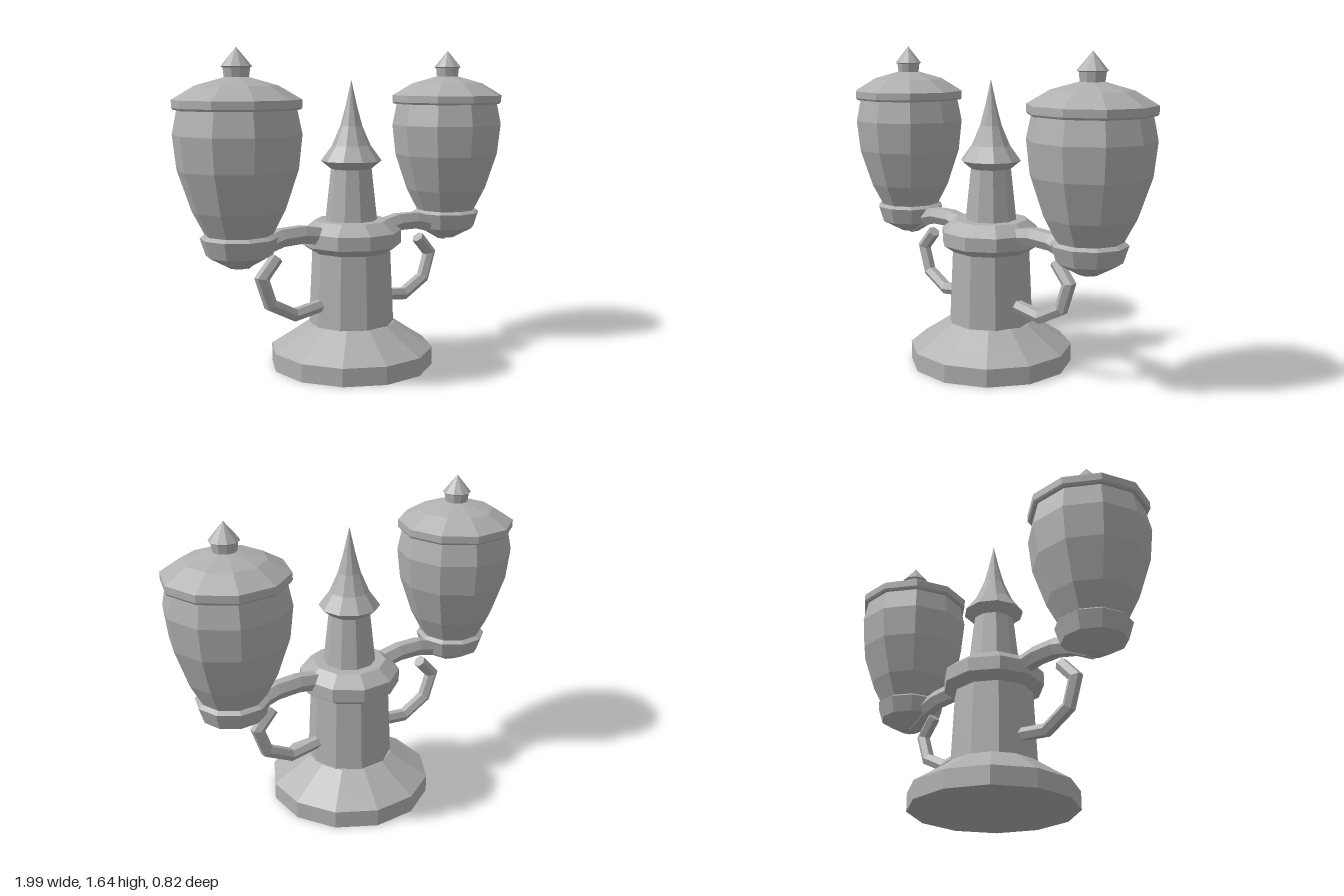
import * as THREE from 'three';

const stone = new THREE.MeshStandardMaterial({ color: 0xb0b0b0, flatShading: true });
stone.name = 'grey';

function faceted(geometry, name) {
  const flat = geometry.index ? geometry.toNonIndexed() : geometry;
  flat.computeVertexNormals();
  const mesh = new THREE.Mesh(flat, stone);
  mesh.name = name;
  return mesh;
}

// Turned part from [radius, height] pairs, listed bottom to top
function turned(name, profile, sides = 10, start = Math.PI / 2) {
  const points = profile.map(([r, y]) => new THREE.Vector2(r, y));
  return faceted(new THREE.LatheGeometry(points, sides, start), name);
}

// Mitred hexagonal bar following a path in the xy plane, capped at both ends
function hexBar(name, path, radius) {
  const pts = path.map(([x, y]) => new THREE.Vector2(x, y));
  const n = 6, pos = [], idx = [];
  pts.forEach((p, i) => {
    const before = p.clone().sub(pts[Math.max(i - 1, 0)]).normalize();
    const after = pts[Math.min(i + 1, pts.length - 1)].clone().sub(p).normalize();
    const t = before.clone().add(after).normalize();
    const mitre = 1 / Math.max(t.dot(i ? before : after), 0.5);
    for (let k = 0; k < n; k++) {
      const a = (k / n) * Math.PI * 2;
      const off = Math.sin(a) * radius * mitre;
      pos.push(p.x - t.y * off, p.y + t.x * off, Math.cos(a) * radius);
    }
  });
  const last = (pts.length - 1) * n;
  for (let i = 0; i < last; i += n) {
    for (let k = 0; k < n; k++) {
      const a = i + k, b = i + (k + 1) % n;
      idx.push(a, a + n, b, b, a + n, b + n);
    }
  }
  for (let k = 1; k < n - 1; k++) {
    idx.push(0, k, k + 1, last, last + k + 1, last + k);
  }
  const g = new THREE.BufferGeometry();
  g.setAttribute('position', new THREE.Float32BufferAttribute(pos, 3));
  g.setIndex(idx);
  return faceted(g, name);
}

function createLantern() {
  const lantern = new THREE.Group();
  lantern.name = 'lantern';
  lantern.add(
    turned('lanternCup', [[0, 0.6], [0.05, 0.6], [0.16, 0.66], [0.187, 0.745], [0.165, 0.76], [0, 0.76]]),
    turned('lanternGlobe', [[0.16, 0.755], [0.222, 0.875], [0.287, 1.07], [0.305, 1.235], [0.28, 1.355]]),
    turned('lanternLid', [[0, 1.35], [0.298, 1.35], [0.305, 1.36], [0.305, 1.397], [0.195, 1.462], [0.06, 1.5], [0, 1.5]]),
    turned('lanternFinial', [[0.058, 1.495], [0.064, 1.545], [0.074, 1.55], [0, 1.64]])
  );
  lantern.position.x = 0.69;
  return lantern;
}

// One side: arm, curled brace and lantern
function createBranch(name) {
  const branch = new THREE.Group();
  branch.name = name;
  branch.add(
    hexBar('arm', [[0.15, 0.69], [0.32, 0.72], [0.45, 0.717], [0.57, 0.685], [0.675, 0.63]], 0.05),
    hexBar('brace', [[0.17, 0.342], [0.37, 0.315], [0.515, 0.39], [0.563, 0.525], [0.475, 0.62]], 0.034),
    createLantern()
  );
  return branch;
}

export function createModel() {
  const model = new THREE.Group();
  model.name = 'twinStreetLamp';

  // Central post
  model.add(
    turned('base', [[0, 0], [0.425, 0], [0.425, 0.093], [0.34, 0.148], [0.225, 0.225], [0, 0.225]], 12, Math.PI / 12),
    turned('lowerShaft', [[0.222, 0.22], [0.204, 0.605]]),
    turned('collar', [[0, 0.6], [0.2, 0.6], [0.26, 0.64], [0.26, 0.71], [0.19, 0.765], [0, 0.765]]),
    turned('upperShaft', [[0.135, 0.76], [0.105, 1.035]]),
    turned('spire', [[0, 1.03], [0.105, 1.03], [0.157, 1.072], [0.1, 1.15], [0.057, 1.25], [0.03, 1.35], [0, 1.485]])
  );

  // Matching branches on both sides
  const left = createBranch('leftBranch');
  const right = createBranch('rightBranch');
  right.rotation.y = Math.PI;
  model.add(left, right);
  return model;
}
